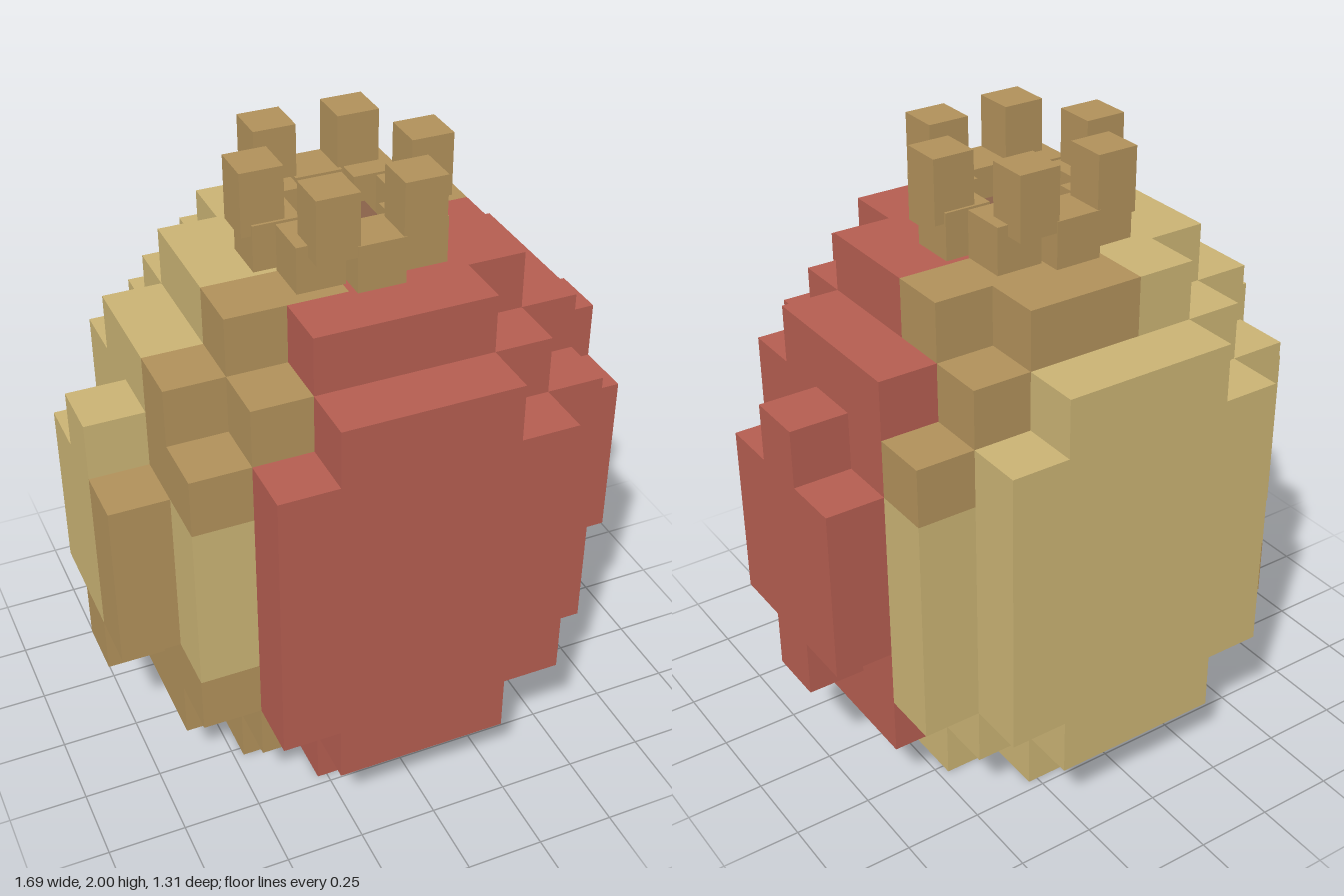
import * as THREE from 'three';
import { mergeGeometries } from 'three/addons/utils/BufferGeometryUtils.js';

const U = 0.1875; // block size

// Half-width in blocks for each distance |k| from the middle, by layer from the end inwards
const END = [2, 2, 1], SHOULDER = [3, 3, 2, 1], RIM = [4, 3, 3, 2], MIDDLE = [4, 4, 3, 2];
const LAYERS = [END, SHOULDER, RIM, MIDDLE, MIDDLE, MIDDLE, RIM, SHOULDER, END];

function filled(i, j, k) {
  const half = LAYERS[j]?.[Math.abs(k)];
  return half !== undefined && Math.abs(i) <= half;
}

// Skin patches: a red cheek on one corner, light and brown patches elsewhere
const RED_FROM = { 3: -2, 2: -1, 1: 0, 0: 1, '-1': 3 };
function skinAt(i, j, k) {
  if (i >= RED_FROM[k]) return 'red';
  if (k === -3) return 'light';
  if (j >= 3 && j <= 5) return k === 1 ? 'brown' : 'light';
  if (j >= 6) return i >= 0 || k >= 1 ? 'brown' : 'light';
  return i >= 0 ? 'light' : 'brown';
}

const DIRECTIONS = [[1, 0, 0], [-1, 0, 0], [0, 1, 0], [0, -1, 0], [0, 0, 1], [0, 0, -1]];

// Unit face of a block, pushed out along its direction
function blockFace(i, j, k, d) {
  const dir = new THREE.Vector3(...d);
  const turn = new THREE.Quaternion().setFromUnitVectors(new THREE.Vector3(0, 0, 1), dir);
  if (d[2] === -1) turn.setFromAxisAngle(new THREE.Vector3(0, 1, 0), Math.PI);
  return new THREE.PlaneGeometry(U, U)
    .applyQuaternion(turn)
    .translate((i + d[0] / 2) * U, (j + 0.5 + d[1] / 2) * U, (k + d[2] / 2) * U);
}

export function createModel() {
  const model = new THREE.Group();
  model.name = 'blockyFruit';

  const material = (name, color) => {
    const m = new THREE.MeshStandardMaterial({ color });
    m.name = name;
    return m;
  };
  const materials = {
    red: material('redSkin', 0xb45d50),
    light: material('lightSkin', 0xc9b273),
    brown: material('brownSkin', 0xb0905a),
    dark: material('darkCore', 0x886149),
  };

  // Body: only the exposed faces of the blocks, grouped by colour
  const faces = { red: [], light: [], brown: [] };
  for (let j = 0; j < 9; j++)
    for (let k = -3; k <= 3; k++)
      for (let i = -4; i <= 4; i++) {
        if (!filled(i, j, k)) continue;
        for (const d of DIRECTIONS)
          if (!filled(i + d[0], j + d[1], k + d[2]))
            faces[skinAt(i, j, k)].push(blockFace(i, j, k, d));
      }
  for (const key of Object.keys(faces)) {
    const mesh = new THREE.Mesh(mergeGeometries(faces[key]), materials[key]);
    mesh.name = key + 'Skin';
    model.add(mesh);
  }

  // Crown on top
  const crown = new THREE.Group();
  crown.name = 'crown';
  model.add(crown);
  const box = (name, w, y0, y1, x, z, mat) => {
    const mesh = new THREE.Mesh(new THREE.BoxGeometry(w, y1 - y0, w), mat);
    mesh.name = name;
    mesh.position.set(x, (y0 + y1) / 2, z);
    crown.add(mesh);
  };
  box('crownCore', 0.24, 1.66, 1.75, 0, 0, materials.dark);

  const base = (x, z) => box('crownBase', 0.15, 1.68, 1.835, x, z, materials.brown);
  const petal = (x, z) => box('crownPetal', 0.133, 1.8, 2, x, z, materials.brown);
  for (const s of [-1, 1]) {
    base(s * 0.226, 0);
    base(0, s * 0.226);
    petal(s * 0.265, 0);
    for (const t of [-1, 1]) {
      base(s * 0.16, t * 0.164);
      petal(s * 0.133, t * 0.232);
    }
  }
  return model;
}
